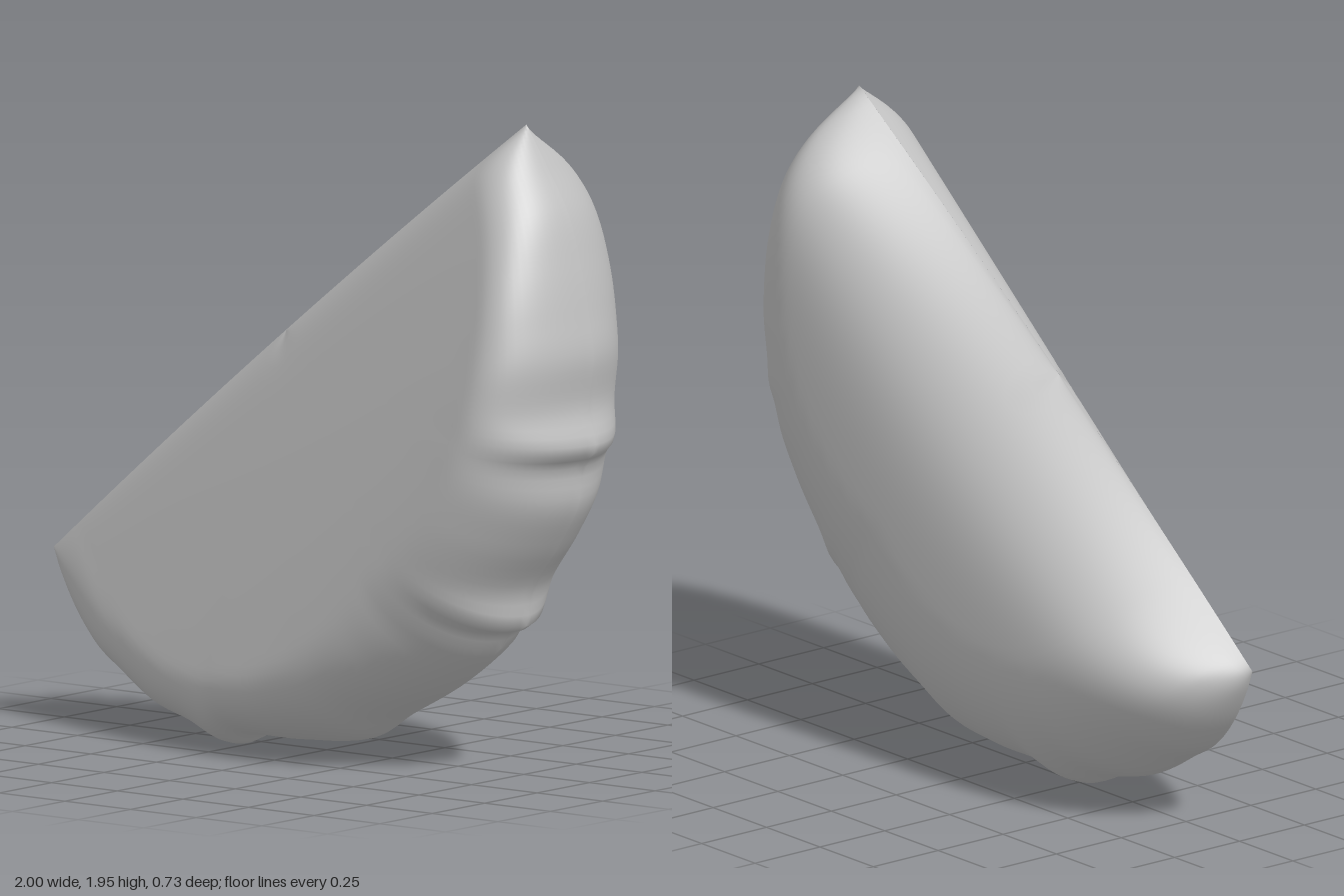
import * as THREE from 'three';

// Outline of the curved rind, from the left tip round the bottom to the top tip
const RIND = [
  [-1, .52], [-.97, .45], [-.9, .34], [-.8, .235], [-.7, .175], [-.55, .09], [-.4, .05], [-.27, 0],
  [-.2, .035], [0, .04], [.2, .06], [.3, .125], [.5, .24], [.66, .37], [.69, .42], [.75, .44],
  [.77, .55], [.87, .7], [.94, .83], [.955, .95], [1, 1], [.97, 1.12], [.985, 1.28], [.965, 1.4],
  [.93, 1.55], [.88, 1.7], [.8, 1.83], [.72, 1.95],
];
const CENTRE = new THREE.Vector2(-.14, 1.235);   // middle of the straight edge
const ALONG = new THREE.Vector2(.769, .639);     // along the straight edge
const ACROSS = new THREE.Vector2(.639, -.769);   // from the straight edge to the rind
const RAYS = 150, RINGS = 40;

// 1 inside, rounding down to 0 at the rind
const rounding = (t, start, power) => {
  const k = Math.max(0, (t - start) / (1 - start));
  return Math.pow(Math.max(0, 1 - k * k), power);
};

// Flat cut face: a small rounded lip, a steady rise, then a roll into the rind
function frontDepth(u, v, t, c) {
  const lip = Math.max(0, .06 + .06 * u) * (1 - Math.exp(-v / .035));
  const rise = Math.max(1e-4, lip + (.38 + .04 * u) * v);
  const capped = Math.pow(Math.pow(rise, -10) + Math.pow(.38 + .03 * u, -10), -1 / 10);
  return capped * rounding(t, .71 + .15 * Math.abs(c), .48);
}

// Full back, bulging quickly from the straight edge and sloping gently to the rind
function backDepth(u, v, t, c) {
  const start = .54 + .24 * Math.max(0, c) + .12 * Math.max(0, -c);
  const bulge = 1 - Math.exp(-Math.pow(v / Math.max(.07, .16 - .08 * u * u), 1.12));
  return -(.35 - .012 * u) * bulge * rounding(t, start, .55);
}

// Rays from the centre of the straight edge to the rind, each with an evened-out length
function rindRays() {
  const curve = new THREE.CatmullRomCurve3(RIND.map(([x, y]) => new THREE.Vector3(x, y, 0)));
  const rays = [];
  for (let i = 0; i <= RAYS; i++) {
    const s = i / RAYS;
    const rim = curve.getPointAt(.4 * s + .6 * (.5 - .5 * Math.cos(Math.PI * s)));
    const ray = new THREE.Vector2(rim.x, rim.y).sub(CENTRE);
    rays.push({ length: ray.length(), dir: ray.normalize() });
  }
  rays.forEach((ray, i) => {
    const reach = Math.min(9, i, RAYS - i);
    const near = rays.slice(i - reach, i + reach + 1);
    ray.even = near.reduce((sum, r) => sum + r.length, 0) / near.length;
  });
  return rays;
}

// One side of the wedge; the wrinkles fade away from the rind
function side(rays, depth, facesFront) {
  const positions = [], index = [];
  rays.forEach(({ dir, length, even }, i) => {
    const c = dir.dot(ALONG);
    const s = i === 0 || i === RAYS ? 0 : Math.max(0, dir.dot(ACROSS));
    for (let j = 0; j <= RINGS; j++) {
      const t = Math.sin(j / RINGS * Math.PI / 2);
      const r = t * (even + (length - even) * Math.pow(t, 10));
      const u = t * even * c, v = t * even * s;
      const lift = .022 * (1 - t * t) * Math.exp(-v / .1);
      positions.push(
        CENTRE.x + r * dir.x - lift * ACROSS.x,
        CENTRE.y + r * dir.y - lift * ACROSS.y,
        -.045 * u + depth(u, v, t, c));
    }
  });
  for (let i = 0; i < RAYS; i++) {
    for (let j = 0; j < RINGS; j++) {
      const a = i * (RINGS + 1) + j, b = a + 1, d = a + RINGS + 1, e = d + 1;
      if (facesFront) index.push(a, b, d, b, e, d);
      else index.push(a, d, b, b, d, e);
    }
  }
  const geometry = new THREE.BufferGeometry();
  geometry.setAttribute('position', new THREE.Float32BufferAttribute(positions, 3));
  geometry.setIndex(index);
  geometry.computeVertexNormals();
  return geometry;
}

export function createModel() {
  const group = new THREE.Group();
  group.name = 'wedgeSlice';
  const grey = new THREE.MeshStandardMaterial({ color: 0xc0c0c0 });
  grey.name = 'light grey';

  const rays = rindRays();
  const front = new THREE.Mesh(side(rays, frontDepth, true), grey);
  front.name = 'frontCutFace';
  const back = new THREE.Mesh(side(rays, backDepth, false), grey);
  back.name = 'roundedBack';
  group.add(front, back);
  return group;
}
